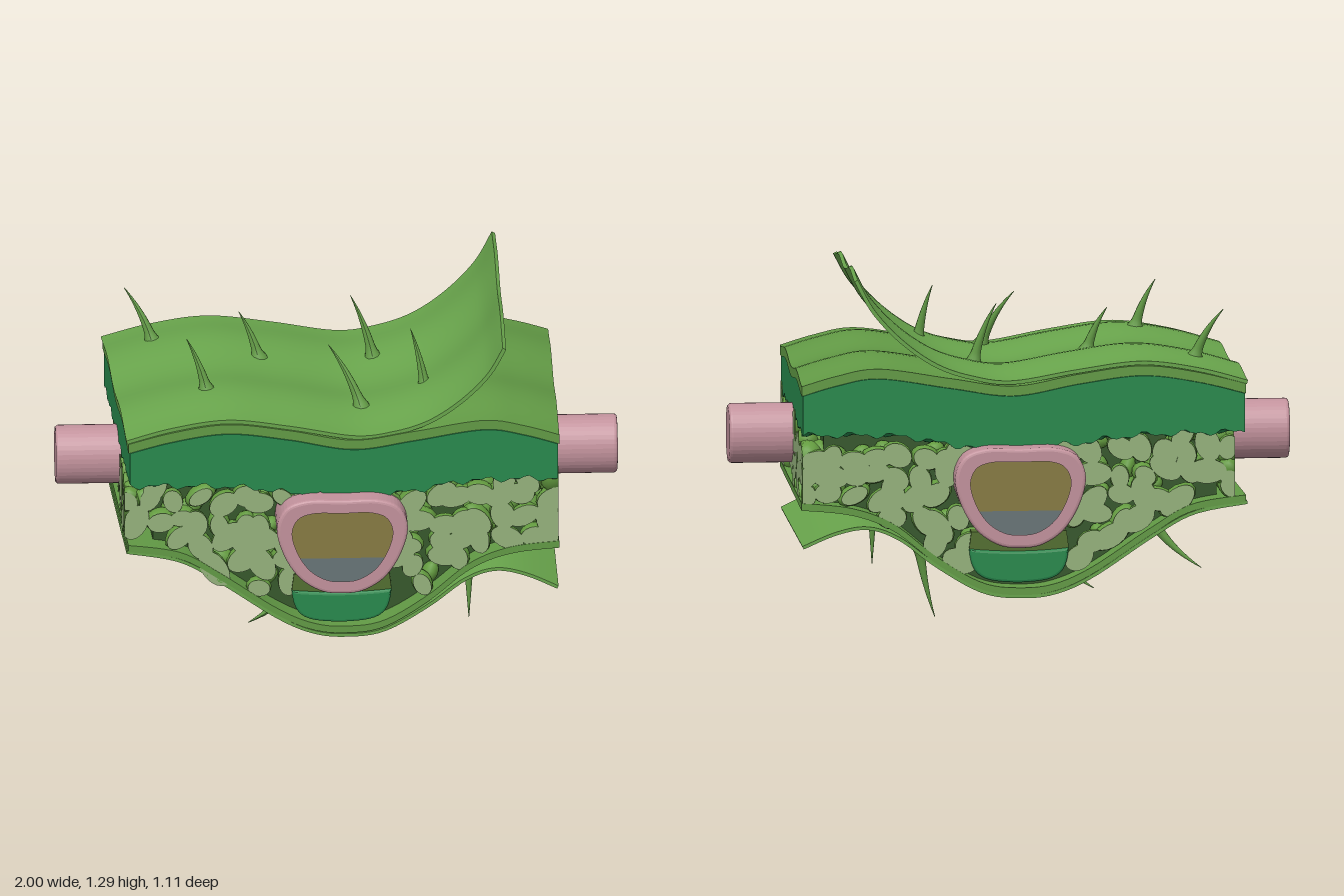
import * as THREE from 'three';
import { mergeGeometries } from 'three/addons/utils/BufferGeometryUtils.js';

const mat = (name, color) => {
  const m = new THREE.MeshStandardMaterial({ color });
  m.name = name;
  return m;
};
const V2 = (p) => new THREE.Vector2(p[0], p[1]);
const lerp = THREE.MathUtils.lerp;

// Smooth height profile y(x) through a few points
function profile(pts) {
  const s = new THREE.SplineCurve(pts.map(V2)).getPoints(160);
  return (x) => {
    let i = 1;
    while (i < s.length - 1 && s[i].x < x) i++;
    const a = s[i - 1], b = s[i];
    return lerp(a.y, b.y, THREE.MathUtils.clamp((x - a.x) / (b.x - a.x), 0, 1));
  };
}

const ripple = (z) => -0.012 * Math.cos(z * 13.1) - 0.012 * z;

export function createModel() {
  const root = new THREE.Group();
  root.name = 'leafSection';
  const M = {
    cuticle: mat('cuticle green', 0x69a54c),
    epidermis: mat('epidermis green', 0x629a45),
    palisade: mat('palisade green', 0x28894d),
    cell: mat('cell green', 0x649c40),
    cut: mat('cut cell pale green', 0x95b27c),
    core: mat('deep tissue green', 0x36582c),
    vein: mat('vein pink', 0xc2929c),
    xylem: mat('xylem olive', 0x877b42),
    phloem: mat('phloem grey', 0x687577),
    shade: mat('bundle olive green', 0x526f30),
  };
  const add = (name, geo, m, parent = root) => {
    const mesh = new THREE.Mesh(geo, m);
    mesh.name = name;
    parent.add(mesh);
    return mesh;
  };

  let seed = 7;
  const rnd = () => (seed = (seed * 16807) % 2147483647) / 2147483647;

  // Box bent between an upper and a lower edge, each a function (u, z) -> [x, y]
  function slab(name, m, halfZ, top, bot, nx = 60, nz = 24, ny = 1) {
    const g = new THREE.BoxGeometry(1, 1, 1, nx, ny, nz);
    const p = g.attributes.position;
    for (let i = 0; i < p.count; i++) {
      const u = p.getX(i) + 0.5, v = p.getY(i) + 0.5, z = p.getZ(i) * 2 * halfZ;
      const a = top(u, z), b = bot(u, z);
      p.setXYZ(i, lerp(b[0], a[0], v) + 0.055 * z * (1 - u), lerp(b[1], a[1], v), z);
    }
    g.computeVertexNormals();
    return add(name, g, m);
  }
  const layer = (f, off = 0, rip = 0, x0 = -0.785, x1 = 0.775) => (u, z) => {
    const x = lerp(x0, x1, u);
    return [x, f(x, z) + off + rip * ripple(z)];
  };

  const topY = profile([[-0.81, 0.89], [-0.62, 0.94], [-0.42, 0.967], [-0.2, 0.94], [0.03, 0.9], [0.25, 0.93], [0.5, 0.968], [0.65, 0.945], [0.8, 0.9]]);
  const palY = profile([[-0.81, 0.72], [-0.4, 0.71], [-0.2, 0.685], [0.05, 0.665], [0.25, 0.685], [0.45, 0.72], [0.8, 0.725]]);
  const lowY = profile([[-0.81, 0.462], [-0.6, 0.43], [-0.45, 0.345], [-0.25, 0.21], [-0.12, 0.15], [0, 0.135], [0.14, 0.155], [0.3, 0.25], [0.45, 0.37], [0.6, 0.43], [0.8, 0.452]]);

  // Upper layers
  slab('upperEpidermis', M.epidermis, 0.475, layer(topY, 0, 1), layer(topY, -0.035, 1));
  const jag = (x, z) => palY(x) + 0.008 * Math.sin(x * 43 + z * 37) + 0.006 * Math.sin(x * 91 - z * 71);
  slab('palisadeLayer', M.palisade, 0.478, layer(topY, -0.036, 1, -0.78, 0.77), layer(jag, 0, 0, -0.78, 0.77), 90, 60, 4);

  // Lower layers
  slab('lowerEpidermis', M.epidermis, 0.472, layer(lowY, 0.03), layer(lowY, 0.004));
  slab('deepTissue', M.core, 0.39, layer(palY, 0.02, 0, -0.69, 0.69), layer(lowY, 0.02, 0, -0.69, 0.69), 40, 4);

  // Peeling cuticle sheets that follow a path and curl off the block
  function sheet(name, pts, thick, lift) {
    const c = new THREE.SplineCurve(pts.map(V2));
    const at = (off) => (u, z) => {
      const p = c.getPoint(u), t = c.getTangent(u);
      return [p.x - t.y * off, p.y + t.x * off + lift(u, z)];
    };
    slab(name, M.cuticle, 0.47, at(thick / 2), at(-thick / 2));
  }
  sheet('upperCuticle', [[-0.79, 0.902], [-0.62, 0.949], [-0.42, 0.976], [-0.2, 0.949], [0.03, 0.91], [0.17, 0.925], [0.3, 0.968], [0.42, 1.05], [0.52, 1.155], [0.58, 1.263]], 0.014,
    (u, z) => ripple(z) - 0.05 * z * u * u * u);
  sheet('lowerCuticle', [[-0.79, 0.462], [-0.6, 0.426], [-0.45, 0.341], [-0.25, 0.206], [-0.12, 0.146], [0, 0.131], [0.14, 0.15], [0.3, 0.242], [0.43, 0.34], [0.54, 0.38], [0.65, 0.362], [0.77, 0.31]], 0.012,
    (u, z) => -0.02 * z * u * u);

  // Spongy cells sliced flat along the four sides of the block
  const cells = [], cuts = [];
  function cell(a, y, r, depth, D, W, turn) {
    const rot = rnd() * Math.PI, sx = 1 + rnd() * 0.5;
    const limit = (g, zMax) => {
      const p = g.attributes.position;
      for (let i = 0; i < p.count; i++) {
        p.setX(i, THREE.MathUtils.clamp(p.getX(i), -W, W));
        p.setZ(i, Math.min(p.getZ(i), zMax));
      }
      return g.rotateY(turn);
    };
    const s = new THREE.SphereGeometry(r, 10, 7).scale(sx, 0.85, 1).rotateZ(rot).translate(a, y, D - depth);
    cells.push(limit(s, D));
    if (depth < r) {
      const c = new THREE.CircleGeometry(Math.sqrt(r * r - depth * depth), 18).scale(sx, 0.85, 1).rotateZ(rot).translate(a, y, D + 0.002);
      cuts.push(limit(c, D + 0.002));
    }
  }
  for (let f = 0; f < 4; f++) {
    const wide = f % 2 === 0, D = wide ? 0.468 : 0.772, W = wide ? 0.772 : 0.468;
    const sign = f === 2 ? -1 : 1, step = 0.078;
    for (let a = -W + 0.03; a < W; a += step) {
      for (let y = 0.18; y < 0.74; y += step) {
        const ca = a + (rnd() - 0.5) * 0.05, cy = y + (rnd() - 0.5) * 0.05;
        const x = wide ? ca * sign : (f === 1 ? 0.77 : -0.78);
        if (cy < lowY(x) + 0.045 || cy > palY(x) - 0.005) continue;
        if (wide && (Math.hypot(ca / 0.21, (cy - 0.52) / 0.17) < 1 || (Math.abs(ca) < 0.18 && cy < 0.38))) continue;
        if (!wide && Math.hypot(ca, cy - 0.65) < 0.08) continue;
        cell(ca, cy, 0.042 + rnd() * 0.013, 0.005 + rnd() * 0.026, D, W, f * Math.PI / 2);
        if (rnd() < 0.6) cell(ca + 0.03, cy + 0.02, 0.035, 0.07, D, W, f * Math.PI / 2);
      }
    }
  }
  add('spongyCells', mergeGeometries(cells), M.cell);
  add('slicedCellFaces', mergeGeometries(cuts), M.cut);

  // Vein: a pink sheath with a two-coloured filling
  function vein(name, pts, sx, sy, cy, splitY, z0, z1) {
    const g = new THREE.Group();
    g.name = name;
    const inner = pts.map((p) => new THREE.Vector2(p.x * sx, cy + (p.y - cy) * sy));
    const ring = new THREE.Shape(pts);
    ring.holes.push(new THREE.Path(inner));
    const b = 0.012;
    add(name + 'Sheath', new THREE.ExtrudeGeometry(ring, {
      depth: z1 - z0 - 2 * b, bevelThickness: b, bevelSize: b, bevelOffset: -b, bevelSegments: 3,
    }).translate(0, 0, z0 + b), M.vein, g);
    [['Xylem', M.xylem, 1], ['Phloem', M.phloem, -1]].forEach(([n, m, s]) => {
      const half = inner.map((p) => new THREE.Vector2(p.x * 1.04, s * Math.max(s * p.y, s * splitY)));
      add(name + n, new THREE.ExtrudeGeometry(new THREE.Shape(half), { depth: z1 - z0 - 0.03, bevelEnabled: false })
        .translate(0, 0, z0 + 0.015), m, g);
    });
    root.add(g);
    return g;
  }
  const half = [[0.13, 0.68], [0.2, 0.652], [0.233, 0.58], [0.21, 0.475], [0.15, 0.38], [0.07, 0.33]];
  const loop = [[0, 0.68], ...half, [0, 0.322], ...half.map(([x, y]) => [-x, y]).reverse()]
    .map(([x, y]) => new THREE.Vector3(x, y, 0));
  const midOutline = new THREE.CatmullRomCurve3(loop, true).getPoints(72).slice(0, -1).map((p) => new THREE.Vector2(p.x, p.y));
  vein('midrib', midOutline, 0.82, 0.8, 0.505, 0.455, -0.558, 0.553);
  [[1, 0.657], [-1, 0.648]].forEach(([s, cy]) => {
    const oval = Array.from({ length: 40 }, (_, i) => {
      const t = i / 40 * Math.PI * 2;
      return new THREE.Vector2(0.094 * Math.cos(t), cy + 0.107 * Math.sin(t));
    });
    vein(s > 0 ? 'leftSideVein' : 'rightSideVein', oval, 0.8, 0.82, cy, cy - 0.025, 0.6, 1).rotation.y = s * Math.PI / 2;
  });

  // Supporting bundle under the midrib
  const bundle = new THREE.Shape();
  bundle.moveTo(-0.178, 0.31);
  bundle.bezierCurveTo(-0.17, 0.2, -0.13, 0.19, 0, 0.185);
  bundle.bezierCurveTo(0.13, 0.19, 0.17, 0.2, 0.178, 0.31);
  bundle.quadraticCurveTo(0, 0.29, -0.178, 0.31);
  add('supportBundle', new THREE.ExtrudeGeometry(bundle, {
    depth: 0.95, bevelThickness: 0.012, bevelSize: 0.01, bevelOffset: -0.01, bevelSegments: 3,
  }).translate(0, 0, -0.475), M.palisade);
  const cap = new THREE.Shape([[-0.178, 0.308], [0, 0.296], [0.178, 0.308], [0.17, 0.37], [-0.17, 0.37]].map(V2));
  add('bundleCap', new THREE.ExtrudeGeometry(cap, { depth: 0.956, bevelEnabled: false }).translate(0, 0, -0.478), M.shade);

  // Tapered, curved hairs
  function hair(name, b, t, r) {
    const base = new THREE.Vector3(...b), tip = new THREE.Vector3(...t);
    const mid = new THREE.Vector3(lerp(b[0], t[0], 0.3), lerp(b[1], t[1], 0.55), lerp(b[2], t[2], 0.3));
    const curve = new THREE.QuadraticBezierCurve3(base, mid, tip);
    const n = 14, k = 10, g = new THREE.TubeGeometry(curve, n, r, k), p = g.attributes.position, v = new THREE.Vector3();
    for (let i = 0; i < p.count; i++) {
      const u = Math.floor(i / (k + 1)) / n, c = curve.getPointAt(u);
      v.fromBufferAttribute(p, i).sub(c).multiplyScalar(0.04 + 0.8 * (1 - u) + 0.5 * Math.max(0, 1 - u * 6)).add(c);
      p.setXYZ(i, v.x, v.y, v.z);
    }
    g.computeVertexNormals();
    add(name, g, M.epidermis);
  }
  [[-0.64, -0.29, -0.74, 1.14, -0.35], [-0.27, -0.12, -0.34, 1.12, -0.16], [0.14, -0.18, 0.06, 1.15, -0.22],
    [-0.47, 0.22, -0.54, 1.16, 0.18], [0.08, 0.25, -0.035, 1.125, 0.17], [0.31, 0.17, 0.26, 1.16, 0.12]]
    .forEach(([x, z, tx, ty, tz]) => hair('upperHair', [x, topY(x) + ripple(z), z], [tx, ty, tz], 0.026));
  [[-0.49, -0.33, -0.66, 0.21, -0.36], [-0.18, 0.17, -0.32, 0.052, 0.155], [0.33, -0.13, 0.27, 0.002, -0.11], [0.46, 0.295, 0.46, 0.125, 0.31]]
    .forEach(([x, z, tx, ty, tz]) => hair('lowerHair', [x, lowY(x) + 0.005, z], [tx, ty, tz], 0.026));

  // Breathing pores on the underside: a ring of guard cells around a dark slit
  [[-0.04, -0.33, 0], [0.5, -0.14, -0.03], [-0.4, -0.28, 0]].forEach(([x, z, drop]) => {
    const pore = new THREE.Group();
    pore.name = 'pore';
    add('guardCells', new THREE.TorusGeometry(0.04, 0.022, 8, 24).scale(0.75, 1.15, 0.8).rotateX(Math.PI / 2), M.epidermis, pore);
    add('poreSlit', new THREE.SphereGeometry(0.022, 12, 8).scale(0.7, 0.3, 1.6), M.core, pore);
    pore.position.set(x, lowY(x) + drop - 0.006, z);
    pore.rotation.z = Math.atan((lowY(x + 0.03) - lowY(x - 0.03)) / 0.06) * (drop ? 0.4 : 1);
    root.add(pore);
  });
  return root;
}
